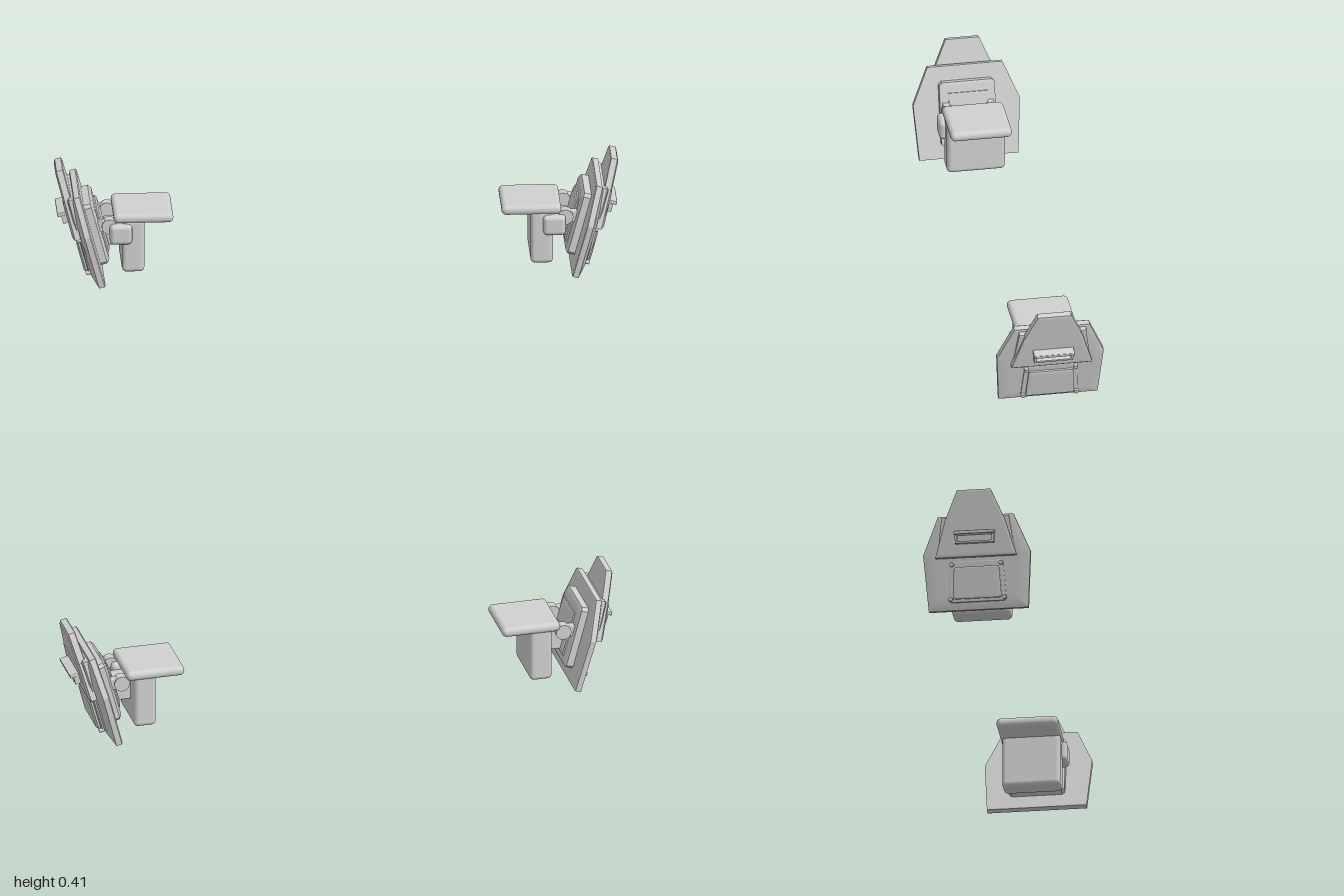
import * as THREE from 'three';
import { RoundedBoxGeometry } from 'three/addons/geometries/RoundedBoxGeometry.js';
import { toCreasedNormals } from 'three/addons/utils/BufferGeometryUtils.js';

const TILT = -0.262;

// Mirror a right half outline of [z, s] points, listed bottom to top
const outline = (half) => [...half, ...half.slice().reverse().map(([z, s]) => [-z, s])];

// Move every edge of a convex counter-clockwise outline inwards by d
function inset(pts, d) {
  const n = pts.length;
  const normal = (a, b) => {
    const x = b[0] - a[0], y = b[1] - a[1], l = Math.hypot(x, y);
    return [-y / l, x / l];
  };
  return pts.map((p, i) => {
    const a = normal(pts[(i + n - 1) % n], p), b = normal(p, pts[(i + 1) % n]);
    const k = d / (1 + a[0] * b[0] + a[1] * b[1]);
    return [p[0] + (a[0] + b[0]) * k, p[1] + (a[1] + b[1]) * k];
  });
}

// Plate through rings of [depth, inset]; bevels blend softly into the flat faces
function plate(half, rings) {
  const pts = outline(half), n = pts.length, positions = [], normals = [];
  const loops = rings.map(([t, d]) => inset(pts, d).map(([z, s]) => new THREE.Vector3(t, s, z)));
  const put = (p, normal) => {
    positions.push(...p);
    normals.push(...normal);
  };
  for (let r = 0; r < loops.length - 1; r++) {
    const slope = Math.sign(rings[r + 1][1] - rings[r][1]);
    const cap = new THREE.Vector3(slope, 0, 0);
    for (let i = 0; i < n; i++) {
      const j = (i + 1) % n, [a, b, c, d] = [loops[r][i], loops[r][j], loops[r + 1][j], loops[r + 1][i]];
      const flat = c.clone().sub(a).cross(b.clone().sub(a)).normalize();
      const rim = flat.clone().add(cap).normalize();
      const near = slope < 0 ? cap : rim, far = slope > 0 ? cap : rim;
      for (const [p, normal] of [[a, near], [c, far], [b, near], [a, near], [d, far], [c, far]]) put(p, normal);
    }
  }
  const first = loops[0], last = loops[loops.length - 1];
  for (let i = 1; i < n - 1; i++) {
    for (const p of [first[0], first[i], first[i + 1]]) put(p, [-1, 0, 0]);
    for (const p of [last[0], last[i + 1], last[i]]) put(p, [1, 0, 0]);
  }
  const g = new THREE.BufferGeometry();
  g.setAttribute('position', new THREE.Float32BufferAttribute(positions, 3));
  g.setAttribute('normal', new THREE.Float32BufferAttribute(normals, 3));
  return g;
}

// Rounded box from its limits
function box(x0, x1, y0, y1, z0, z1, r = 0.008) {
  return new RoundedBoxGeometry(x1 - x0, y1 - y0, z1 - z0, 3, r)
    .translate((x0 + x1) / 2, (y0 + y1) / 2, (z0 + z1) / 2);
}

// Mirror a geometry across x = 0 and restore its corner order
function mirrorX(geometry) {
  const g = geometry.index ? geometry.toNonIndexed() : geometry.clone();
  g.scale(-1, 1, 1);
  for (const a of Object.values(g.attributes)) {
    const k = a.itemSize;
    for (let i = 0; i < a.array.length; i += 3 * k) {
      for (let c = 0; c < k; c++) {
        const swap = a.array[i + k + c];
        a.array[i + k + c] = a.array[i + 2 * k + c];
        a.array[i + 2 * k + c] = swap;
      }
    }
  }
  return g;
}

export function createModel() {
  const grey = new THREE.MeshStandardMaterial({ color: 0xd0d0d0 });
  grey.name = 'armourGrey';
  const model = new THREE.Group();
  model.name = 'shoulderArmourPair';
  const parts = [];
  const upright = (name, g) => parts.push([name, g]);
  const tilted = (name, g) => upright(name, g.rotateZ(TILT).translate(0.828, 0.005, 0));

  // Main shield and the layered plates on its outside
  tilted('mainShield', plate([[0.178, 0], [0.192, 0.203], [0.135, 0.34]],
    [[0, 0.003], [0.004, 0], [0.024, 0], [0.04, 0.04]]));
  tilted('upperBackingPlate', plate([[0.14, 0.19], [0.12, 0.332]],
    [[0.015, 0], [0.045, 0], [0.05, 0.005]]));
  tilted('topFin', plate([[0.106, 0.3], [0.105, 0.322], [0.06, 0.427]],
    [[0.035, 0.003], [0.038, 0], [0.06, 0], [0.066, 0.01]]));
  tilted('upperPlate', plate([[0.145, 0.186], [0.105, 0.324]],
    [[0.035, 0], [0.06, 0], [0.068, 0.01]]));

  // Slotted vent with a projecting lip
  const frame = new THREE.Shape([[-0.07, 0.231], [0.07, 0.231], [0.07, 0.27], [-0.07, 0.27]]
    .map((p) => new THREE.Vector2(...p)));
  frame.holes.push(new THREE.Path([[-0.062, 0.238], [-0.062, 0.262], [0.062, 0.262], [0.062, 0.238]]
    .map((p) => new THREE.Vector2(...p))));
  tilted('ventFrame', new THREE.ExtrudeGeometry(frame, { depth: 0.03, bevelEnabled: false })
    .rotateY(Math.PI / 2).translate(0.058, 0, 0));
  tilted('ventLip', box(0.058, 0.1, 0.262, 0.275, -0.073, 0.073, 0.003));

  // Lower access panel, cushion and corner bolts
  tilted('lowerPanel', plate([[0.094, 0.026], [0.103, 0.032], [0.094, 0.166], [0.085, 0.172]],
    [[0.03, 0], [0.045, 0], [0.049, 0.004]]));
  tilted('lowerPad', plate([[0.078, 0.036], [0.085, 0.039], [0.087, 0.046], [0.081, 0.141], [0.078, 0.148], [0.071, 0.151]],
    [[0.04, 0], [0.056, 0], [0.063, 0.008]]));
  for (const side of [-1, 1]) {
    for (const [z, s] of [[0.096, 0.037], [0.088, 0.161]]) {
      tilted('cornerBolt', new THREE.CylinderGeometry(0.008, 0.008, 0.025, 12)
        .rotateZ(-Math.PI / 2).translate(0.046, s, z * side));
    }
  }

  // Inner mounting plate
  tilted('mountingPlate', plate([[0.09, 0.05], [0.1, 0.06], [0.1, 0.275], [0.09, 0.287]],
    [[-0.035, 0.012], [-0.025, 0], [0.005, 0]]));
  tilted('mountingPanel', plate([[0.07, 0.085], [0.07, 0.25]],
    [[-0.046, 0.008], [-0.04, 0], [-0.03, 0]]));

  // Hinges joining the mounting plate to the shoulder block
  for (const side of [-1, 1]) {
    upright('hingeBarrel', toCreasedNormals(new THREE.CylinderGeometry(0.028, 0.028, 0.035, 20), 0.6)
      .rotateX(Math.PI / 2).translate(0.81, 0.2, 0.08 * side));
    upright('hingeBracket', box(0.8, 0.86, 0.178, 0.222, 0.08 * side - 0.012, 0.08 * side + 0.012, 0.004));
  }
  upright('linkArm', box(0.75, 0.825, 0.11, 0.19, -0.045, 0.045));

  // Shoulder block, its flat top and the front box
  upright('shoulderTop', box(0.583, 0.795, 0.212, 0.248, -0.115, 0.105, 0.017));
  upright('shoulderBlock', box(0.686, 0.766, 0.026, 0.225, -0.107, 0.102, 0.016));
  upright('frontBox', box(0.73, 0.81, 0.138, 0.212, 0.04, 0.122, 0.016));

  for (const [label, side] of [['left', 1], ['right', -1]]) {
    const shoulder = new THREE.Group();
    shoulder.name = label + 'Shoulder';
    for (const [name, g] of parts) {
      const mesh = new THREE.Mesh(side > 0 ? g : mirrorX(g), grey);
      mesh.name = name;
      shoulder.add(mesh);
    }
    model.add(shoulder);
  }
  return model;
}
